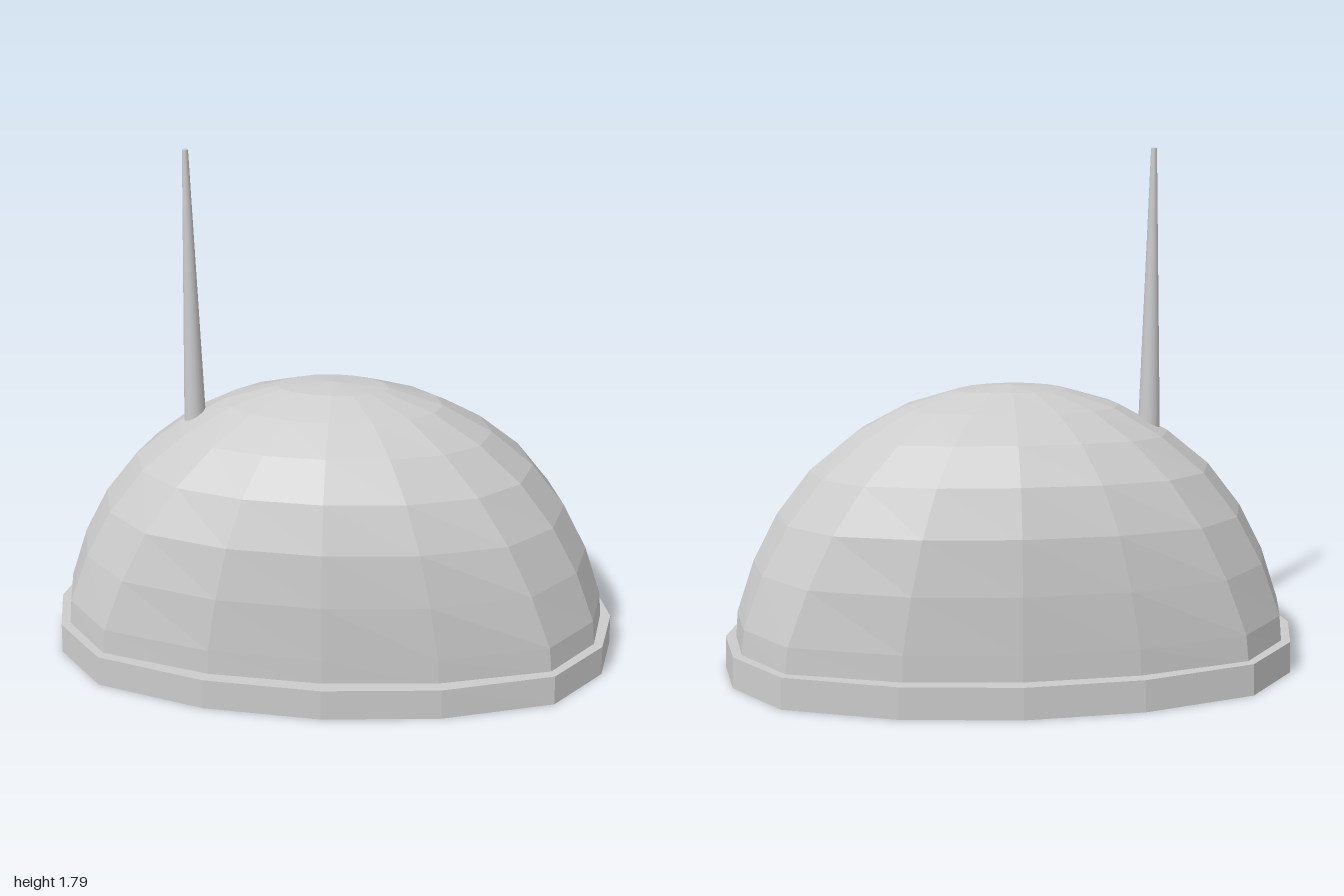
import * as THREE from 'three';

// Quarter of the squarish 16-sided plan, from the +x end to the +z side
const SQUARE_X = [1, 0.963, 0.8, 0.405, 0];
const SQUARE_Z = [0, 0.375, 0.74, 0.94, 1];
const SIDES = 16;

// Plan corner i; square = 0 gives a plain ellipse, 1 the squarish plan
function planPoint(i, square) {
  const k = i % SIDES;
  const q = k % 8 <= 4 ? k % 8 : 8 - (k % 8);
  const sx = k > 4 && k < 12 ? -1 : 1;
  const sz = k > 8 ? -1 : 1;
  const angle = (q * Math.PI) / 8;
  return [
    sx * THREE.MathUtils.lerp(Math.cos(angle), SQUARE_X[q], square),
    sz * THREE.MathUtils.lerp(Math.sin(angle), SQUARE_Z[q], square),
  ];
}

// Joins rings [halfWidth, halfDepth, height, square, lift at the long sides]
// into a closed wall. Rings listed upward on the outside give outward faces.
function loftRings(rings) {
  const pos = [];
  const point = ([rx, rz, y, square, lift = 0], i) => {
    const [px, pz] = planPoint(i, square);
    return new THREE.Vector3(px * rx, y + lift * pz * pz, pz * rz);
  };
  const tri = (a, b, c) => {
    const area = b.clone().sub(a).cross(c.clone().sub(a)).length();
    if (area > 1e-9) for (const p of [a, b, c]) pos.push(p.x, p.y, p.z);
  };
  rings.forEach((low, r) => {
    const high = rings[(r + 1) % rings.length];
    for (let i = 0; i < SIDES; i++) {
      const a = point(low, i), b = point(low, i + 1);
      const c = point(high, i + 1), d = point(high, i);
      tri(a, d, c);
      tri(a, c, b);
    }
  });
  const geo = new THREE.BufferGeometry();
  geo.setAttribute('position', new THREE.Float32BufferAttribute(pos, 3));
  geo.computeVertexNormals();
  return geo;
}

export function createModel() {
  const group = new THREE.Group();
  const faceted = new THREE.MeshStandardMaterial({ color: 0xcccccc, flatShading: true });
  const smooth = new THREE.MeshStandardMaterial({ color: 0xcccccc });
  const add = (name, geo, mat) => {
    const mesh = new THREE.Mesh(geo, mat);
    mesh.name = name;
    group.add(mesh);
    return mesh;
  };

  // Hollow faceted dome: outer skin up to the crown, inner skin back down
  const outer = [
    [0.96, 0.51, 0.1, 1],
    [0.952, 0.51, 0.2, 0.95],
    [0.89, 0.507, 0.385, 0.7, 0.01],
    [0.805, 0.488, 0.55, 0.45, 0.03],
    [0.69, 0.43, 0.7, 0.2, 0.035],
    [0.545, 0.33, 0.82, 0, 0.03],
    [0.375, 0.205, 0.915, 0, 0.01],
    [0.19, 0.095, 0.972, 0, 0.005],
    [0, 0, 0.99, 0],
  ];
  const inner = outer.map(([rx, rz, y, square, lift], i) => {
    const t = i / (outer.length - 1);
    return [rx * 0.98, rz * 0.965, y - 0.02 * t, square, lift];
  }).reverse();
  add('dome', loftRings([...outer, ...inner]), faceted);

  // Thin band around the open bottom edge, with a ledge meeting the dome
  add('rim', loftRings([
    [1, 0.557, 0, 0.8],
    [0.996, 0.555, 0.11, 0.8],
    [0.95, 0.503, 0.11, 1],
    [0.95, 0.503, 0.095, 1],
    [0.977, 0.533, 0.095, 0.9],
    [0.977, 0.533, 0, 0.9],
  ]), faceted);

  // Tapered antenna with a small flat tip
  const antenna = [[0.039, 0.8], [0.01, 1.783], [0.008, 1.786], [0, 1.786]]
    .map(([r, y]) => new THREE.Vector2(r, y));
  add('antenna', new THREE.LatheGeometry(antenna, 16), smooth).position.x = -0.48;

  return group;
}
